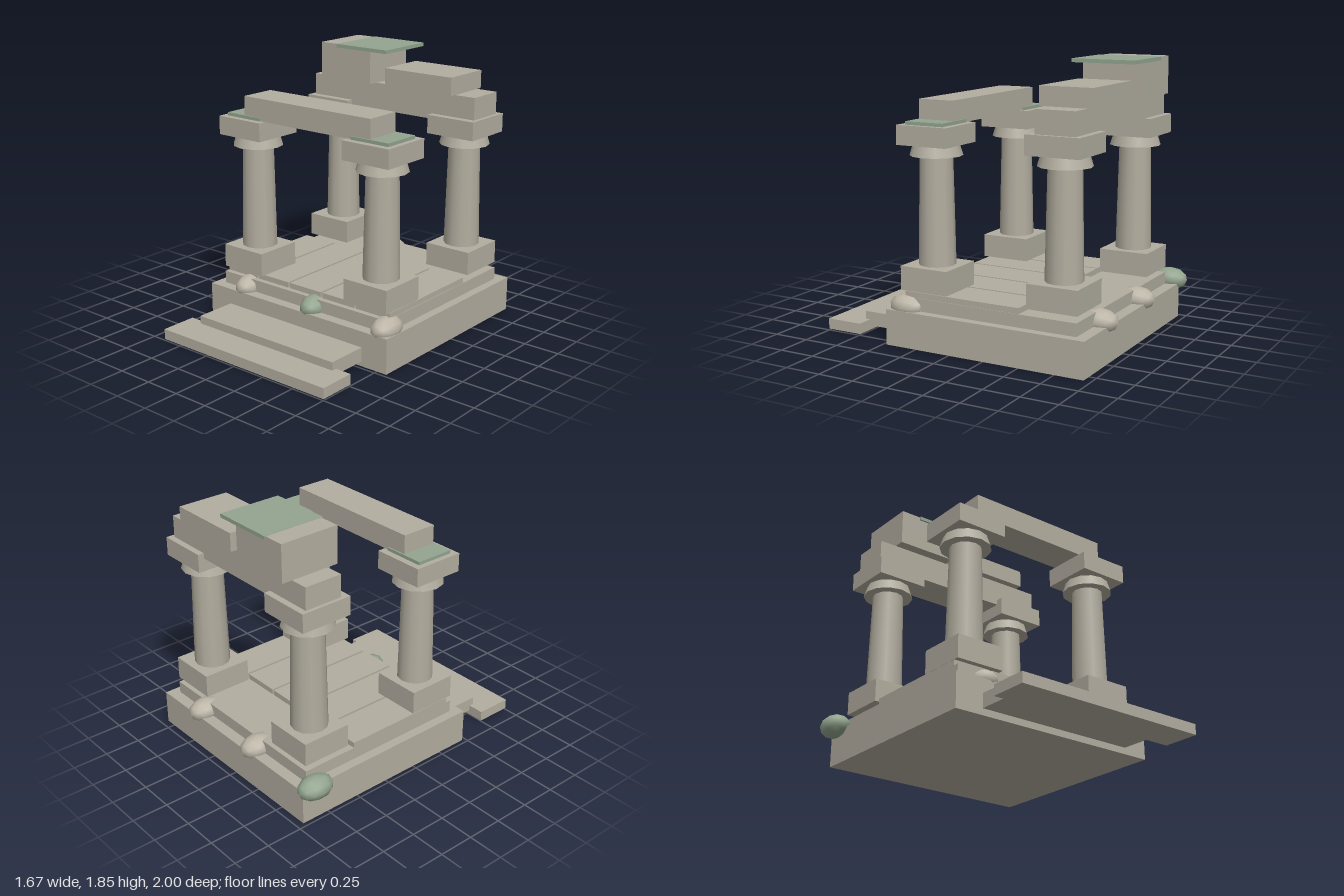
import * as THREE from 'three';

export function createModel() {
  const model = new THREE.Group();
  model.name = 'ruinedShrine';

  const material = (name, color) => {
    const m = new THREE.MeshStandardMaterial({ color });
    m.name = name;
    return m;
  };
  const stone = material('stone', 0xb2ad9f);
  const rubble = material('rubble stone', 0xbcb5a7);
  const moss = material('moss', 0x93a58f);

  const add = (parent, name, geometry, mat, x, y, z) => {
    const mesh = new THREE.Mesh(geometry, mat);
    mesh.name = name;
    mesh.position.set(x, y, z);
    parent.add(mesh);
    return mesh;
  };
  // Box given by its extents on each axis
  const block = (name, [x0, x1], [y0, y1], [z0, z1], mat = stone, parent = model) =>
    add(parent, name, new THREE.BoxGeometry(x1 - x0, y1 - y0, z1 - z0), mat,
      (x0 + x1) / 2, (y0 + y1) / 2, (z0 + z1) / 2);

  // Platform and entrance steps
  block('foundation', [-0.72, 0.825], [0, 0.24], [-0.95, 0.475]);
  block('upperTier', [-0.655, 0.765], [0.24, 0.325], [-0.87, 0.4]);
  block('lowerStep', [-0.645, 0.752], [0.01, 0.082], [0.742, 1]);
  block('upperStep', [-0.528, 0.635], [0.04, 0.137], [0.485, 0.777]);

  // Floor slabs with narrow joints
  for (let i = 0; i < 5; i++) {
    const x = -0.655 + i * 0.2865;
    block('floorSlab', [x, x + 0.27], [0.325, 0.363], [-0.473, 0.362]);
  }

  // Four columns
  const shaft = new THREE.CylinderGeometry(0.108, 0.123, 0.72, 12);
  const capital = new THREE.CylinderGeometry(0.15, 0.173, 0.075, 12);
  for (const x of [-0.481, 0.587]) {
    for (const z of [0.225, -0.698]) {
      const column = new THREE.Group();
      column.name = 'column';
      column.position.set(x, 0, z);
      model.add(column);
      block('pedestal', [-0.173, 0.173], [0.365, 0.525], [-0.173, 0.173], stone, column);
      add(column, 'shaft', shaft, stone, 0, 0.882, 0);
      add(column, 'capital', capital, stone, 0, 1.278, 0);
      block('abacus', [-0.184, 0.184], [1.315, 1.443], [-0.184, 0.184], stone, column);
      if (z > 0) {
        block('mossPad', [-0.147, 0.147], [1.443, 1.465], [-0.138, 0.138], moss, column);
      }
    }
  }

  // Lintels and the remaining roof blocks
  block('frontLintel', [-0.48, 0.587], [1.443, 1.595], [0.098, 0.354]);
  block('backLintel', [-0.64, 0.742], [1.405, 1.595], [-0.838, -0.568]);
  block('tallRoofBlock', [-0.517, -0.077], [1.595, 1.848], [-0.912, -0.492]);
  block('lowRoofBlock', [0.035, 0.587], [1.595, 1.72], [-0.88, -0.515]);
  block('mossSheet', [-0.37, 0.07], [1.825, 1.85], [-0.92, -0.48], moss);

  // Boulders around the platform edge
  const boulder = new THREE.IcosahedronGeometry(1, 1);
  const boulders = [
    [-0.445, 0.36, rubble], [0.145, 0.36, moss], [0.738, 0.36, rubble],
    [-0.745, -0.87, moss], [-0.15, -0.87, rubble], [0.44, -0.87, rubble],
  ];
  for (const [x, z, mat] of boulders) {
    add(model, 'boulder', boulder, mat, x, 0.26, z).scale.set(0.092, 0.08, 0.13);
  }

  return model;
}
